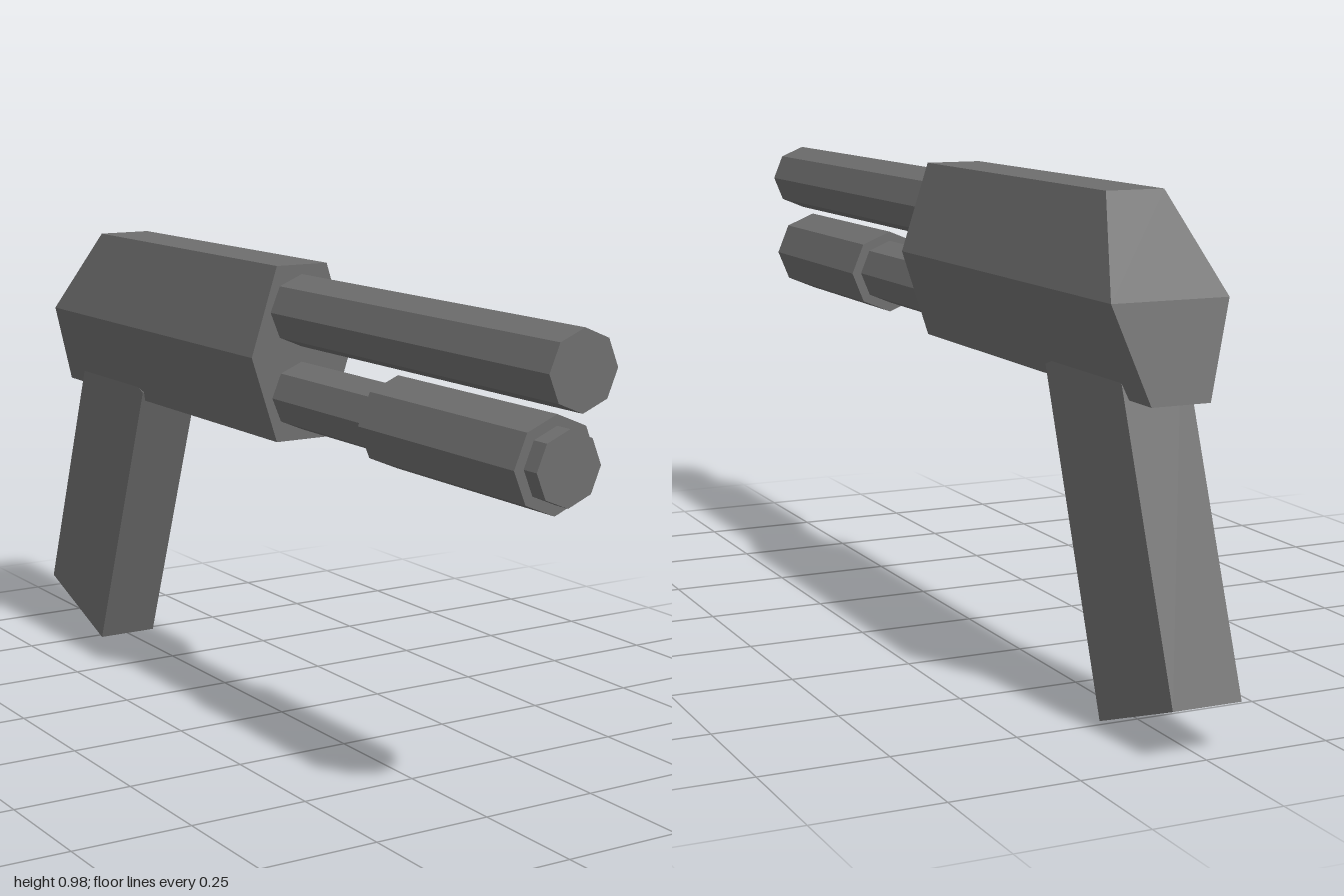
import * as THREE from 'three';

export function createModel() {
  const group = new THREE.Group();
  const gray = new THREE.MeshStandardMaterial({ color: 0x6e6e6e, flatShading: true });
  gray.name = 'dark gray';

  const add = (name, geometry) => {
    const mesh = new THREE.Mesh(geometry, gray);
    mesh.name = name;
    group.add(mesh);
    return mesh;
  };

  // Eight-sided rod running along z between two depths
  const rod = (name, radius, y, zBack, zFront) => {
    const geometry = new THREE.CylinderGeometry(radius, radius, zFront - zBack, 8);
    geometry.rotateX(Math.PI / 2);
    add(name, geometry).position.set(0, y, (zBack + zFront) / 2);
  };
  rod('barrel', 0.075, 0.89, 0.06, 1);
  rod('lowerTube', 0.071, 0.712, 0.06, 0.967);
  rod('foreGrip', 0.092, 0.712, 0.435, 0.93);

  // Body: hexagonal prism, each ring corner is [x, y, rear z]
  const ring = [
    [0.06, 0.985, -0.715], [-0.06, 0.985, -0.715], [-0.12, 0.8, -0.85],
    [-0.06, 0.619, -0.892], [0.06, 0.619, -0.892], [0.12, 0.8, -0.85],
  ];
  const points = [
    ...ring.map(([x, y]) => [x, y, 0.08]),
    ...ring,
  ];
  const index = [];
  const quad = (a, b, c, d) => index.push(a, b, c, a, c, d);
  for (let i = 0; i < 6; i++) {
    const j = (i + 1) % 6;
    quad(i, i + 6, j + 6, j);
  }
  quad(0, 1, 2, 5); // front
  quad(2, 3, 4, 5);
  quad(11, 8, 7, 6); // sloped rear
  quad(11, 10, 9, 8);
  const body = new THREE.BufferGeometry();
  body.setAttribute('position', new THREE.Float32BufferAttribute(points.flat(), 3));
  body.setIndex(index);
  const flatBody = body.toNonIndexed();
  flatBody.computeVertexNormals();
  add('body', flatBody);

  // Handle: slanted box, hung from the centre of its lower end
  const handle = new THREE.BoxGeometry(0.14, 0.68, 0.286);
  handle.translate(0, 0.34, 0);
  const grip = add('handle', handle);
  grip.position.set(0, 0.05, -0.866);
  grip.rotation.x = THREE.MathUtils.degToRad(20);

  return group;
}
